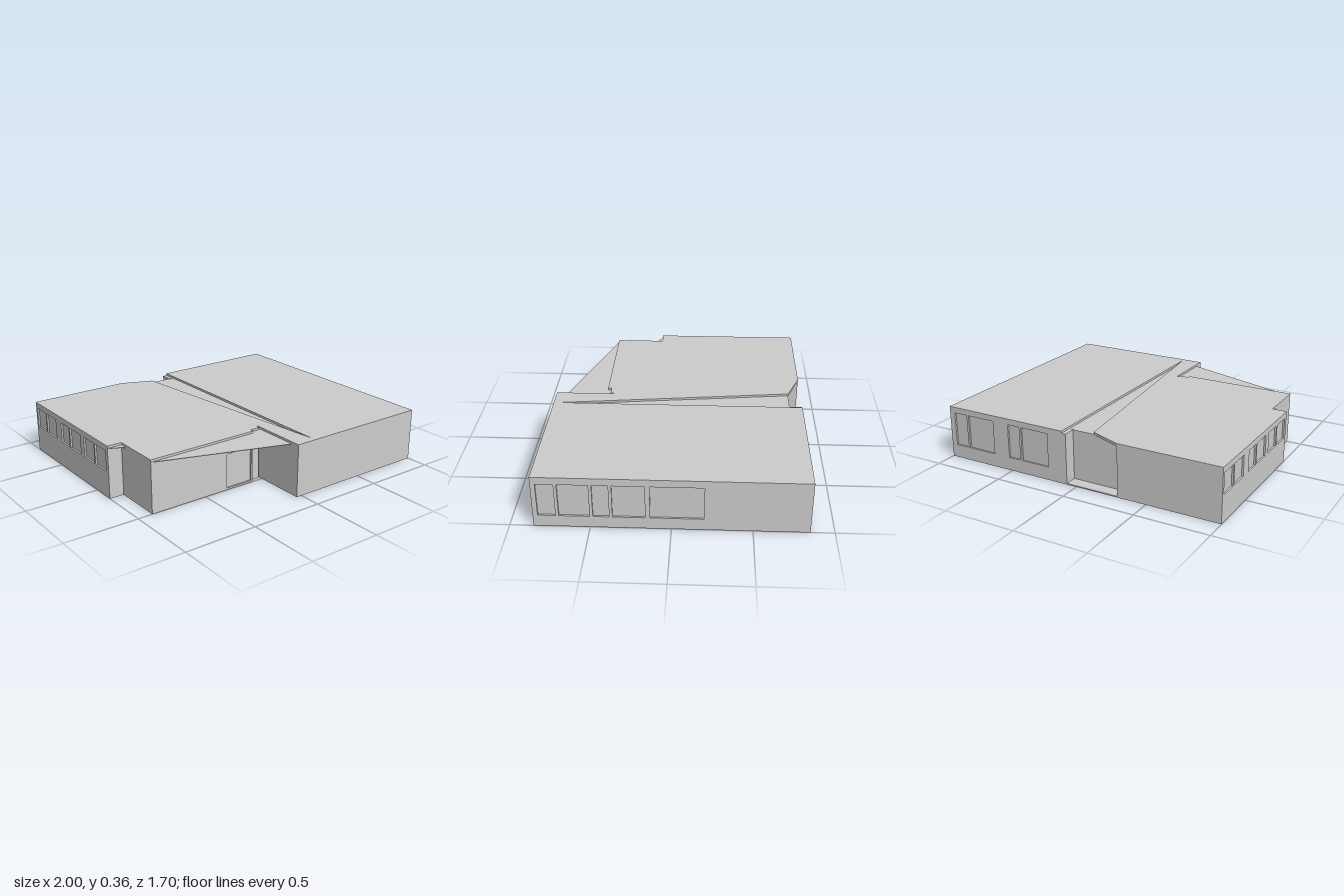
import * as THREE from 'three';

const TOP = 0.36, EAVE = 0.345, SKIN = 0.012;
const material = new THREE.MeshStandardMaterial({ color: 0xcccccc, flatShading: true });

// Walls in plan as [x, z], front wall running towards +x
const outline = [
  [-0.9, 0.5], [-0.12, 0.5], [-0.12, 0.475], [-0.05, 0.475], [-0.05, 0.45], [-0.04, 0.45],
  [-0.04, 0.85], [1, 0.85], [1, -0.85], [0.07, -0.85], [0.07, -0.765], [-0.3, -0.765],
  [-0.3, -0.85], [-1, -0.85], [-1, 0.16], [-0.9, 0.16],
];

// Openings per wall: [from, to, sill, head], measured along the wall's x or z
const row = (spans, sill, head) => spans.map(([a, b]) => [a, b, sill, head]);
const openings = {
  0: [[-0.33, -0.13, 0.012, 0.25]],
  7: row([[0.82, 0.71], [0.69, 0.5], [0.48, 0.38], [0.36, 0.16], [0.13, -0.2]], 0.08, 0.31),
  8: row([[0.96, 0.86], [0.845, 0.64], [0.52, 0.43], [0.415, 0.21]], 0.09, 0.32),
  13: row([[-0.83, -0.7], [-0.685, -0.55], [-0.47, -0.36], [-0.345, -0.2], [-0.15, -0.02], [-0.005, 0.13]], 0.18, 0.32),
  14: [[0.25, 0.43, 0.015, 0.29]],
};

function add(group, geometry, name) {
  const mesh = new THREE.Mesh(geometry, material);
  mesh.name = name;
  group.add(mesh);
  return mesh;
}

// Horizontal slab from a plan polygon
function slab(points, y0, y1) {
  const shape = new THREE.Shape(points.map(([x, z]) => new THREE.Vector2(x, -z)));
  const geometry = new THREE.ExtrudeGeometry(shape, { depth: y1 - y0, bevelEnabled: false });
  return geometry.rotateX(-Math.PI / 2).translate(0, y0, 0);
}

// Moves every edge of the plan inwards
function inset(points, t) {
  const normal = (a, b) => {
    const l = Math.hypot(b[0] - a[0], b[1] - a[1]);
    return [-(b[1] - a[1]) / l, (b[0] - a[0]) / l];
  };
  return points.map((p, i) => {
    const n = points.length;
    const m = normal(points[(i + n - 1) % n], p), k = normal(p, points[(i + 1) % n]);
    return [p[0] - t * (m[0] + k[0]), p[1] - t * (m[1] + k[1])];
  });
}

function rectangle(path, x0, x1, y0, y1) {
  return path.moveTo(x0, y0).lineTo(x1, y0).lineTo(x1, y1).lineTo(x0, y1).closePath();
}

// Outer wall skin with cut openings
function wall(a, b, holes) {
  const dx = b[0] - a[0], dz = b[1] - a[1], length = Math.hypot(dx, dz);
  const start = Math.abs(dx) > Math.abs(dz) ? a[0] : a[1];
  const shape = rectangle(new THREE.Shape(), 0, length, 0, EAVE);
  for (const [from, to, sill, head] of holes) {
    shape.holes.push(rectangle(new THREE.Path(), Math.abs(from - start), Math.abs(to - start), sill, head));
  }
  const geometry = new THREE.ExtrudeGeometry(shape, { depth: SKIN, bevelEnabled: false });
  return geometry.translate(0, 0, -SKIN).rotateY(Math.atan2(-dz, dx)).translate(a[0], 0, a[1]);
}

export function createModel() {
  const model = new THREE.Group();
  model.name = 'building';

  // Solid core, seen as the panes behind the openings
  add(model, slab(inset(outline, SKIN), 0, EAVE), 'core');

  // Outer walls
  const walls = new THREE.Group();
  walls.name = 'walls';
  outline.forEach((p, i) => {
    add(walls, wall(p, outline[(i + 1) % outline.length], openings[i] || []), 'wall');
  });
  model.add(walls);

  // Two raised roofs with a narrow wedge-shaped gutter between them
  add(model, slab([
    ...outline.slice(0, 7), [0.1, 0.85], [0.1, 0.82], [-0.085, -0.765], ...outline.slice(11),
  ], EAVE, TOP), 'leftRoof');
  add(model, slab([[0.1, 0.85], [1, 0.85], [1, -0.85], [0.1, -0.85]], EAVE, TOP), 'rightRoof');

  // Thin triangular canopies over the recesses
  const canopies = {
    frontCanopy: [[-0.9, 0.5], [-0.04, 0.785], [-0.04, 0.45], [-0.05, 0.45], [-0.05, 0.475], [-0.12, 0.475], [-0.12, 0.5]],
    sideCanopy: [[-1, 0.16], [-0.9, 0.21], [-0.9, 0.16]],
    backCanopy: [[-0.3, -0.85], [-0.085, -0.765], [-0.3, -0.765]],
  };
  for (const [name, points] of Object.entries(canopies)) {
    add(model, slab(points, EAVE - 0.004, name === 'backCanopy' ? TOP : EAVE), name);
  }

  // Doorstep in the back recess
  add(model, slab([[-0.3, -0.85], [0.07, -0.85], [0.07, -0.765], [-0.3, -0.765]], 0, 0.008), 'backStep');

  return model;
}
